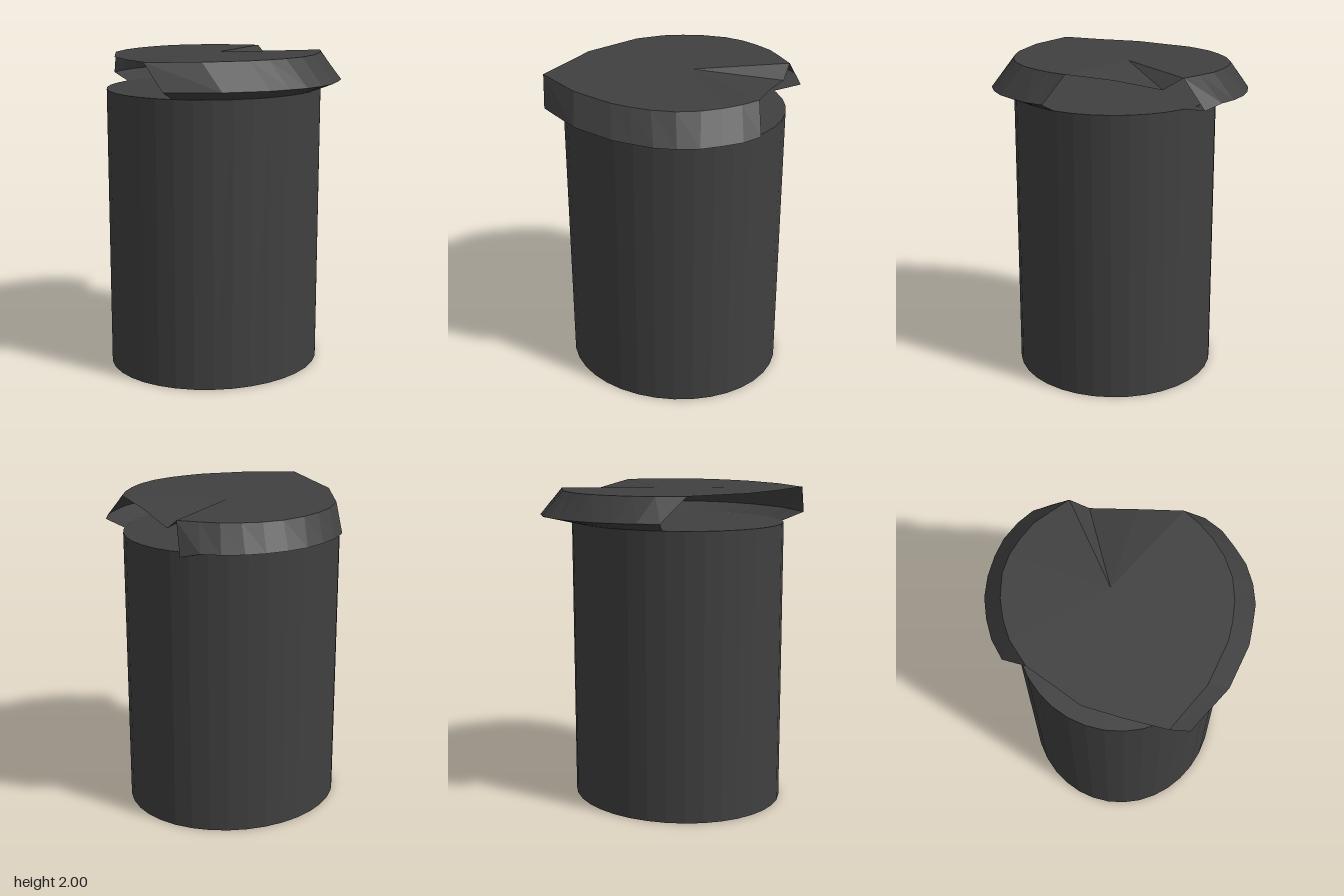
import * as THREE from 'three';

const NECK_Y = 1.78, A = 0.69, B = 0.63, TILT = 0.35, CX = -0.01;

// Builds a flat-faced mesh from a list of triangle corners
function facetMesh(name, corners, material) {
  const geo = new THREE.BufferGeometry().setFromPoints(corners.map((c) => new THREE.Vector3(...c)));
  geo.computeVertexNormals();
  const mesh = new THREE.Mesh(geo, material);
  mesh.name = name;
  return mesh;
}

// Point on the oval body's top edge lying inward of a rim point
function neckPoint([x, , z]) {
  const d = Math.atan2(z, x - CX), t = d - TILT;
  const r = (A * B) / Math.hypot(B * Math.cos(t), A * Math.sin(t));
  return [CX + r * Math.cos(d), NECK_Y, r * Math.sin(d)];
}

// Flared rim: sloping outer band plus the underside returning to the body
function rimSegment(name, top, outer, material) {
  const rows = [top, outer, outer.map(neckPoint)];
  const corners = [];
  for (let r = 0; r < 2; r++) {
    for (let i = 0; i < top.length - 1; i++) {
      const a = rows[r][i], b = rows[r + 1][i], c = rows[r + 1][i + 1], d = rows[r][i + 1];
      corners.push(a, b, c, a, c, d);
    }
  }
  return facetMesh(name, corners, material);
}

const atHeight = (y, pts) => pts.map(([x, z]) => [x, y, z]);

export function createModel() {
  const group = new THREE.Group();
  const charcoal = new THREE.MeshStandardMaterial({ color: 0x404040, side: THREE.DoubleSide, flatShading: true });
  charcoal.name = 'charcoal';

  // Oval body
  const bodyGeo = new THREE.CylinderGeometry(1, 1, NECK_Y, 36);
  bodyGeo.scale(A, 1, B).rotateY(-TILT).translate(CX, NECK_Y / 2, 0);
  const body = new THREE.Mesh(bodyGeo, charcoal);
  body.name = 'body';
  group.add(body);

  // Front rim, left to right
  const frontTop = atHeight(2, [[-0.79, 0.1], [-0.58, 0.36], [-0.35, 0.53], [-0.24, 0.58], [-0.12, 0.62],
    [0.02, 0.64], [0.16, 0.625], [0.28, 0.585], [0.39, 0.53], [0.49, 0.46]]);
  const frontOuter = atHeight(1.835, [[-0.775, 0.23], [-0.57, 0.5], [-0.34, 0.67], [-0.22, 0.72], [-0.1, 0.765],
    [0.03, 0.78], [0.16, 0.77], [0.28, 0.73], [0.4, 0.68], [0.5, 0.6]]);
  group.add(rimSegment('frontRim', frontTop, frontOuter, charcoal));

  // Back rim, right to left
  const backTop = atHeight(1.98, [[0.7, -0.18], [0.645, -0.3], [0.59, -0.41], [0.51, -0.5], [0.42, -0.58],
    [0.31, -0.64], [0.16, -0.675], [0.03, -0.68], [-0.1, -0.665], [-0.27, -0.6]]);
  const backOuter = atHeight(1.83, [[0.785, -0.28], [0.75, -0.4], [0.69, -0.5], [0.6, -0.6], [0.5, -0.67],
    [0.38, -0.73], [0.25, -0.77], [0.11, -0.78], [-0.02, -0.77], [-0.15, -0.73]]);
  backOuter[0][1] = 1.8;
  group.add(rimSegment('backRim', backTop, backOuter, charcoal));

  // Faceted lid spanning both rims, sagging on one side
  const edge = [...frontTop, [0.57, 1.965, 0.2], [0.66, 1.91, -0.07], ...backTop, [-0.56, 1.985, -0.34], [-0.68, 1.99, -0.12]];
  const centre = [0.1, 1.985, -0.05];
  const lid = edge.flatMap((p, i) => [centre, p, edge[(i + 1) % edge.length]]);
  group.add(facetMesh('lid', lid, charcoal));

  return group;
}
